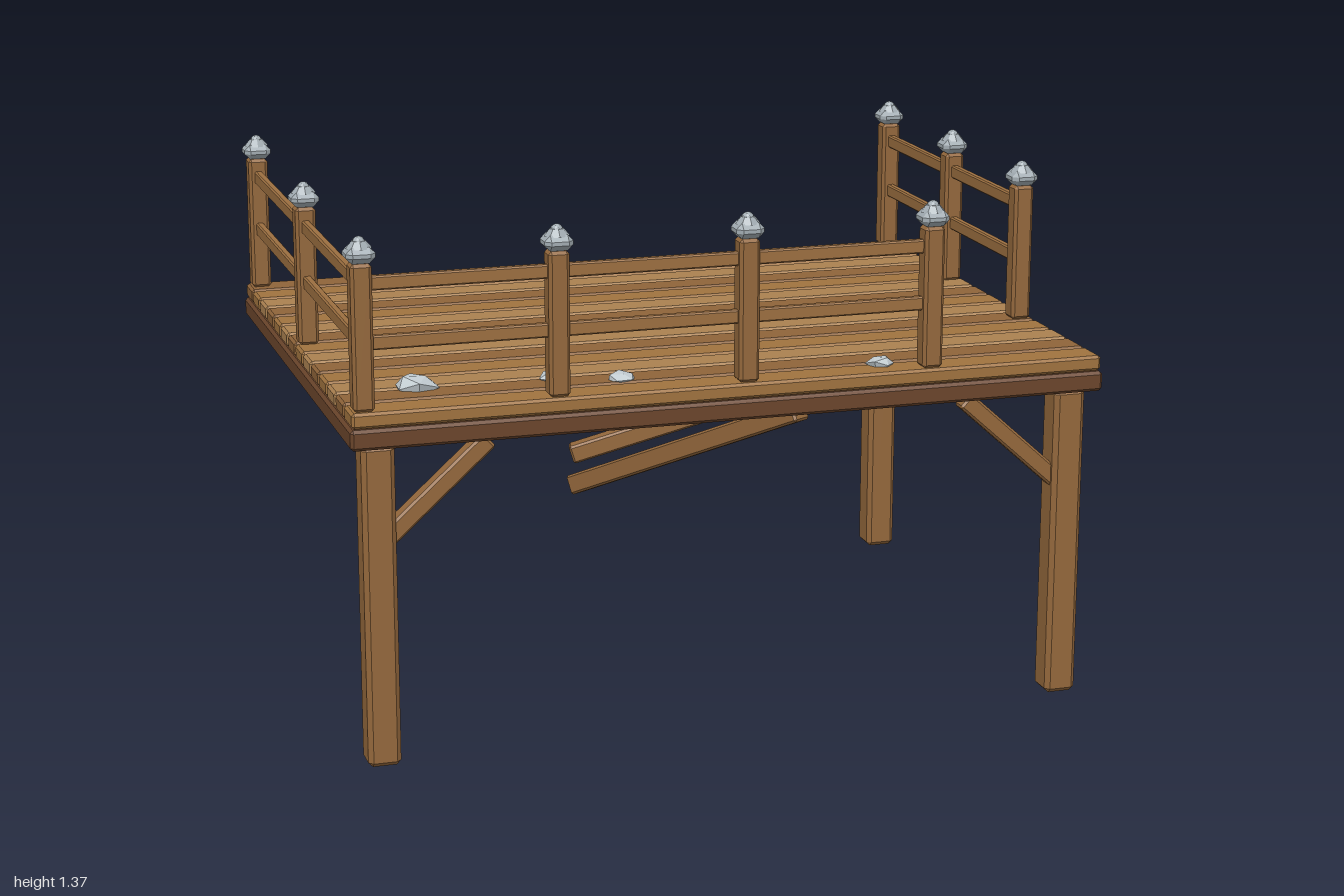
import * as THREE from 'three';
import { ConvexGeometry } from 'three/addons/geometries/ConvexGeometry.js';

const mat = (color) => new THREE.MeshStandardMaterial({ color, flatShading: true });
const WOOD = mat(0x94683c);
const FRAME = mat(0x6b452b);
const RAIL = mat(0x9c6f40);
const PLANKS = [mat(0x8f6439), mat(0xa0733f), mat(0xab8150)];
const METAL = mat(0xa3adb3);
const STONE = mat(0xc3cdd2);

// Box with every edge chamfered by c
function chamferBox(w, h, d, c) {
  const pts = [];
  for (const sx of [-1, 1]) for (const sy of [-1, 1]) for (const sz of [-1, 1]) {
    for (let k = 0; k < 3; k++) {
      pts.push(new THREE.Vector3(
        sx * (w / 2 - (k === 0 ? 0 : c)),
        sy * (h / 2 - (k === 1 ? 0 : c)),
        sz * (d / 2 - (k === 2 ? 0 : c))));
    }
  }
  return new ConvexGeometry(pts);
}

export function createModel() {
  const root = new THREE.Group();

  const add = (name, geometry, material, x, y, z, parent = root) => {
    const mesh = new THREE.Mesh(geometry, material);
    mesh.name = name;
    mesh.position.set(x, y, z);
    parent.add(mesh);
    return mesh;
  };

  // Square beam running between two points
  const beam = (name, a, b, size) => {
    const from = new THREE.Vector3(...a), to = new THREE.Vector3(...b);
    const mid = from.clone().lerp(to, 0.5);
    const geometry = chamferBox(size, size, from.distanceTo(to), 0.006);
    add(name, geometry, WOOD, mid.x, mid.y, mid.z).lookAt(to);
  };

  // Deck: solid frame with separate planks on top
  add('deckFrame', chamferBox(2, 0.053, 1.5, 0.008), FRAME, 0, 0.868, 0);
  const count = 14, pitch = 1.5 / count;
  const plank = chamferBox(1.99, 0.04, 0.097, 0.007);
  for (let i = 0; i < count; i++) {
    add('plank', plank, PLANKS[i % 3], 0, 0.916, -0.75 + pitch * (i + 0.5));
  }

  // Three standing legs, each with a diagonal brace; the back right leg is gone
  const leg = chamferBox(0.085, 0.842, 0.085, 0.012);
  for (const [sx, sz] of [[1, 1], [-1, 1], [1, -1]]) {
    add('leg', leg, WOOD, sx * 0.925, 0.421, sz * 0.675);
    beam('legBrace', [sx * 0.915, 0.582, sz * 0.675], [sx * 0.638, 0.83, sz * 0.675], 0.048);
  }

  // Broken beams hanging under the deck
  beam('fallenBeam', [-0.198, 0.448, -0.105], [0.2, 0.825, 0.64], 0.055);
  beam('fallenBeam', [-0.17, 0.495, -0.245], [0.845, 0.82, 0], 0.052);

  // Railing posts with metal caps
  const post = chamferBox(0.054, 0.37, 0.054, 0.008);
  const capBase = chamferBox(0.074, 0.04, 0.074, 0.015);
  const capCone = new THREE.CylinderGeometry(0.018, 0.033, 0.018, 8);
  const capKnob = new THREE.IcosahedronGeometry(0.016, 1);
  const addPost = (x, z) => {
    const group = new THREE.Group();
    group.name = 'railingPost';
    group.position.set(x, 0, z);
    root.add(group);
    add('post', post, WOOD, 0, 1.12, 0, group);
    add('capBase', capBase, METAL, 0, 1.326, 0, group);
    add('capCone', capCone, METAL, 0, 1.35, 0, group);
    add('capKnob', capKnob, METAL, 0, 1.355, 0, group);
  };
  for (const x of [-0.96, -0.465, 0.03, 0.527]) addPost(x, 0.708);
  for (const z of [0, -0.708]) addPost(-0.96, z);
  for (const z of [0.28, -0.215, -0.715]) addPost(0.957, z);

  // Two rails along each fenced side
  const frontRail = chamferBox(1.487, 0.036, 0.022, 0.004);
  const rightRail = chamferBox(0.022, 0.036, 1.416, 0.004);
  const leftRail = chamferBox(0.022, 0.036, 0.995, 0.004);
  for (const y of [1.104, 1.253]) {
    add('frontRail', frontRail, RAIL, -0.2165, y, 0.708);
    add('rightRail', rightRail, RAIL, -0.96, y, 0);
    add('leftRail', leftRail, RAIL, 0.957, y, -0.2175);
  }

  // Flat loose stones: icosahedra with uneven corners
  const stones = [[-0.79, 0.535, 0.06, 0.032], [-0.43, 0.55, 0.045, 0.02],
    [-0.27, 0.605, 0.04, 0.017], [0.41, 0.66, 0.04, 0.02]];
  stones.forEach(([x, z, r, h], n) => {
    const geometry = new THREE.IcosahedronGeometry(1, 0);
    const p = geometry.attributes.position;
    for (let i = 0; i < p.count; i++) {
      const wobble = 0.98 + 0.12 * Math.sin(p.getX(i) * 5 + p.getY(i) * 3 + p.getZ(i) * 7 + n * 2);
      p.setXYZ(i, p.getX(i) * r * wobble, p.getY(i) * h * wobble, p.getZ(i) * r * wobble);
    }
    geometry.computeVertexNormals();
    add('stone', geometry, STONE, x, 0.94, z).rotation.y = n * 0.8;
  });

  return root;
}
